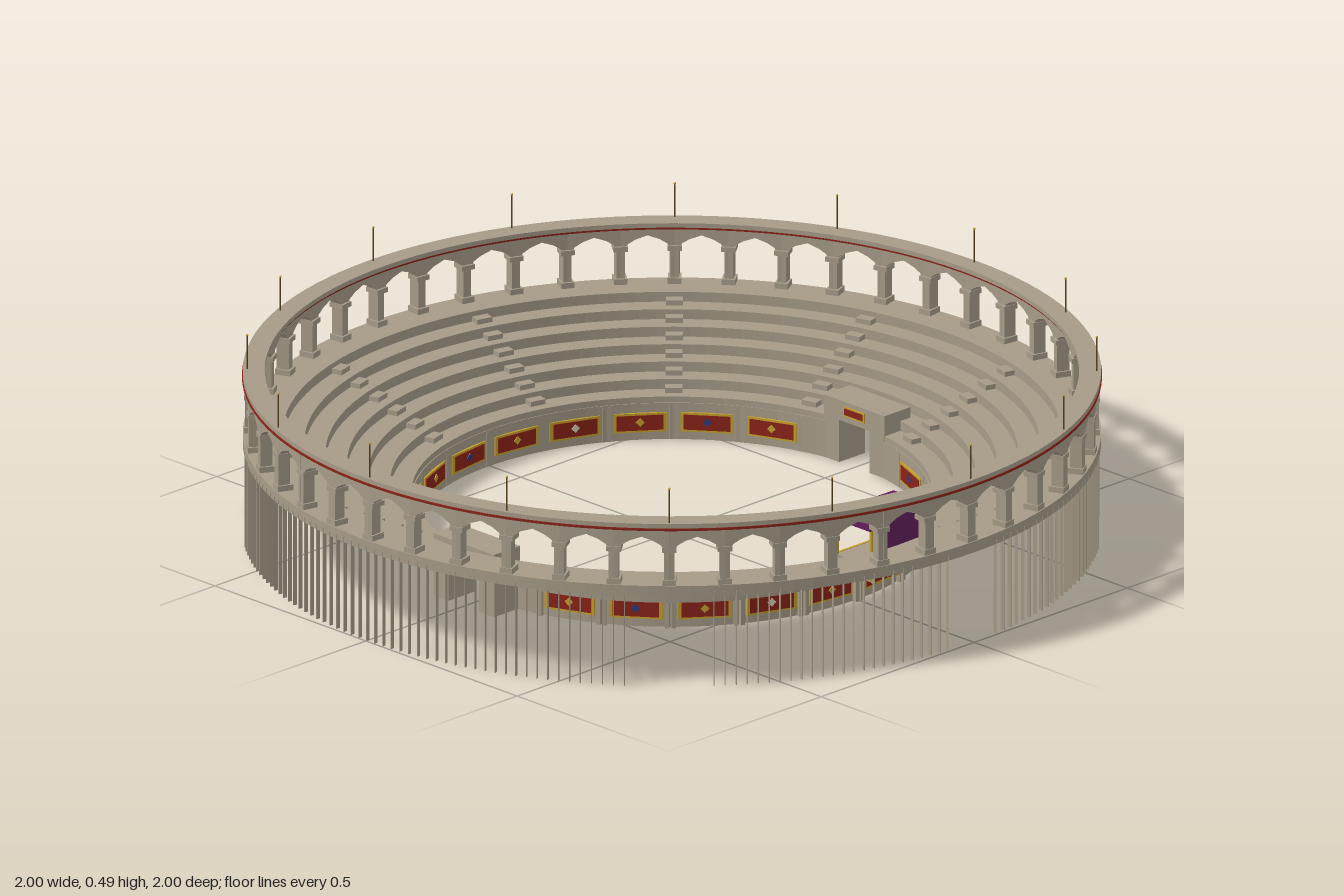
import * as THREE from 'three';

const mat = (name, color) => {
  const m = new THREE.MeshStandardMaterial({ color });
  m.name = name;
  return m;
};

export function createModel() {
  const stone = mat('stone', 0xa69b88);
  const red = mat('red', 0x8a2318);
  const gold = mat('gold', 0xc6a02c);
  const purple = mat('purple', 0x621f5c);
  const wood = mat('wood', 0x59431f);
  const blue = mat('blue', 0x2c3a80);
  const cream = mat('cream', 0xded4bc);

  const root = new THREE.Group();
  root.name = 'arena';
  const group = (name) => {
    const g = new THREE.Group();
    g.name = name;
    root.add(g);
    return g;
  };
  const add = (parent, name, geometry, material) => {
    const m = new THREE.Mesh(geometry, material);
    m.name = name;
    parent.add(m);
    return m;
  };
  const box = (parent, name, material, w, h, d, x, y, z) => {
    const m = add(parent, name, new THREE.BoxGeometry(w, h, d), material);
    m.position.set(x, y, z);
    return m;
  };
  // Holder turned about the centre; its +z points outwards at the angle
  const spoke = (parent, name, angle) => {
    const g = new THREE.Group();
    g.name = name;
    g.rotation.y = angle;
    parent.add(g);
    return g;
  };
  // Ring of rectangular section, optionally broken at the two gates (+x and -x)
  const ring = (parent, name, material, r0, r1, y0, y1, gap = 0) => {
    const profile = [[r0, y0], [r1, y0], [r1, y1], [r0, y1], [r0, y0]].map((p) => new THREE.Vector2(...p));
    const arcs = gap
      ? [[Math.PI / 2 + gap, Math.PI - 2 * gap], [-Math.PI / 2 + gap, Math.PI - 2 * gap]]
      : [[0, Math.PI * 2]];
    for (const [start, length] of arcs) {
      const g = new THREE.LatheGeometry(profile, gap ? 64 : 128, start, length).toNonIndexed();
      g.computeVertexNormals();
      add(parent, name, g, material);
    }
  };

  // Arena wall and seating tiers
  const seating = group('seating');
  const tierR = (i) => 0.605 + 0.05 * i;
  const tierY = (i) => 0.105 + 0.0242 * i;
  ring(seating, 'arenaWall', stone, 0.603, 0.611, 0, 0.09, 0.15);
  for (let i = 0; i < 7; i++) {
    const outer = i === 6 ? 0.998 : tierR(i + 1) + 0.003;
    ring(seating, 'tier', stone, tierR(i), outer, tierY(i) - 0.027, tierY(i), i === 0 ? 0.15 : 0);
  }

  // Stair blocks, a half step at the foot of each riser
  const stairs = group('stairs');
  for (let k = 0; k < 12; k++) {
    const flight = spoke(stairs, 'stairFlight', ((k + 0.5) * Math.PI) / 6);
    for (let i = 1; i < 7; i++) {
      box(flight, 'stairBlock', stone, 0.04, 0.03, 0.028, 0, tierY(i) - 0.027, tierR(i) - 0.012);
    }
  }

  // Framed panels with emblems around the arena wall, on both faces
  const panels = group('wallPanels');
  const emblems = [gold, blue, gold, cream];
  for (let k = 0; k < 24; k++) {
    if (k % 12 === 5 || k % 12 === 6) continue;
    const g = spoke(panels, 'wallPanel', ((k + 0.5) * Math.PI) / 12);
    for (const [z, side] of [[0.599, -1], [0.613, 1]]) {
      box(g, 'panelFrame', gold, 0.126, 0.047, 0.006, 0, 0.044, z - side * 0.001);
      box(g, 'panel', red, 0.11, 0.037, 0.006, 0, 0.044, z + side * 0.0005);
      const emblem = box(g, 'emblem', emblems[(k + 1) % 4], 0.015, 0.015, 0.006, 0, 0.046, z + side * 0.002);
      emblem.rotation.z = Math.PI / 4;
    }
    for (const s of [-1, 1]) {
      box(g, 'pilaster', stone, 0.01, 0.085, 0.02, s * 0.0735, 0.0425, 0.608);
    }
  }

  // Two gateways with an open passage
  for (const s of [1, -1]) {
    const g = spoke(root, 'gateway', (s * Math.PI) / 2);
    for (const x of [-0.075, 0.075]) box(g, 'gatePier', stone, 0.05, 0.155, 0.085, x, 0.0775, 0.638);
    box(g, 'gateLintel', stone, 0.1, 0.05, 0.085, 0, 0.13, 0.638);
    box(g, 'gateFrame', gold, 0.07, 0.024, 0.003, 0, 0.132, 0.5945);
    box(g, 'gatePanel', red, 0.06, 0.016, 0.003, 0, 0.132, 0.5935);
  }

  // Covered box of honour at the front, panelled front and back
  const lodge = group('lodge');
  box(lodge, 'body', stone, 0.184, 0.04, 0.122, 0, 0.126, 0.694);
  box(lodge, 'canopy', purple, 0.2, 0.016, 0.125, 0, 0.243, 0.694);
  box(lodge, 'backCurtain', purple, 0.18, 0.07, 0.006, 0, 0.2, 0.75);
  for (const z of [0.636, 0.752]) {
    for (const x of [-0.09, 0.09]) box(lodge, 'post', gold, 0.008, 0.13, 0.008, x, 0.175, z);
  }
  for (const [z, side] of [[0.632, -1], [0.7565, 1]]) {
    box(lodge, 'balustrade', gold, 0.186, 0.042, 0.006, 0, 0.126, z);
    for (let i = 0; i < 4; i++) {
      box(lodge, 'balustradePanel', red, 0.04, 0.035, 0.006, (i - 1.5) * 0.045, 0.126, z + side * 0.0015);
    }
  }

  // Arcade of 48 bays: half a column on either side of each arch
  const arcade = group('arcade');
  const w = 0.0648, top = 0.39, base = 0.249;
  const bay = new THREE.Shape([
    [-w, base], [-0.053, base], [-0.053, 0.335], [-0.046, 0.349], [-0.028, 0.36], [0, 0.37],
    [0.028, 0.36], [0.046, 0.349], [0.053, 0.335], [0.053, base], [w, base], [w, top], [-w, top],
  ].map((p) => new THREE.Vector2(...p)));
  const bayGeometry = new THREE.ExtrudeGeometry(bay, { depth: 0.03, bevelEnabled: false });
  for (let k = 0; k < 48; k++) {
    const g = spoke(arcade, 'bay', ((k + 0.5) * Math.PI) / 24);
    add(g, 'arch', bayGeometry, stone).position.z = 0.961;
    const c = spoke(arcade, 'column', (k * Math.PI) / 24);
    box(c, 'columnBase', stone, 0.032, 0.014, 0.038, 0, 0.257, 0.976);
    box(c, 'capital', stone, 0.034, 0.012, 0.038, 0, 0.338, 0.976);
  }
  ring(arcade, 'redBand', red, 0.951, 1.0, 0.388, 0.394);
  ring(arcade, 'cornice', stone, 0.947, 0.998, 0.394, 0.405);

  // Flag poles on the cornice
  const poles = group('flagPoles');
  for (let k = 0; k < 16; k++) {
    const g = spoke(poles, 'flagPole', (k * Math.PI) / 8);
    const pole = add(g, 'pole', new THREE.CylinderGeometry(0.0018, 0.0018, 0.085, 6), wood);
    pole.position.set(0, 0.4475, 0.988);
    const knob = add(g, 'finial', new THREE.SphereGeometry(0.003, 8, 6), gold);
    knob.position.set(0, 0.489, 0.988);
  }

  // Slender outer slats, left open at the diagonals and narrowly at front and back
  const slats = group('outerSlats');
  for (let k = 0; k < 240; k++) {
    const fromDiagonal = Math.abs((k % 60) - 30);
    const fromFront = Math.abs(((k + 60) % 120) - 60);
    if (fromDiagonal < 4 || fromFront < 3) continue;
    const g = spoke(slats, 'slat', (k * Math.PI) / 120);
    box(g, 'slatPost', stone, 0.0012, 0.235, 0.01, 0, 0.1175, 0.994);
  }
  return root;
}
